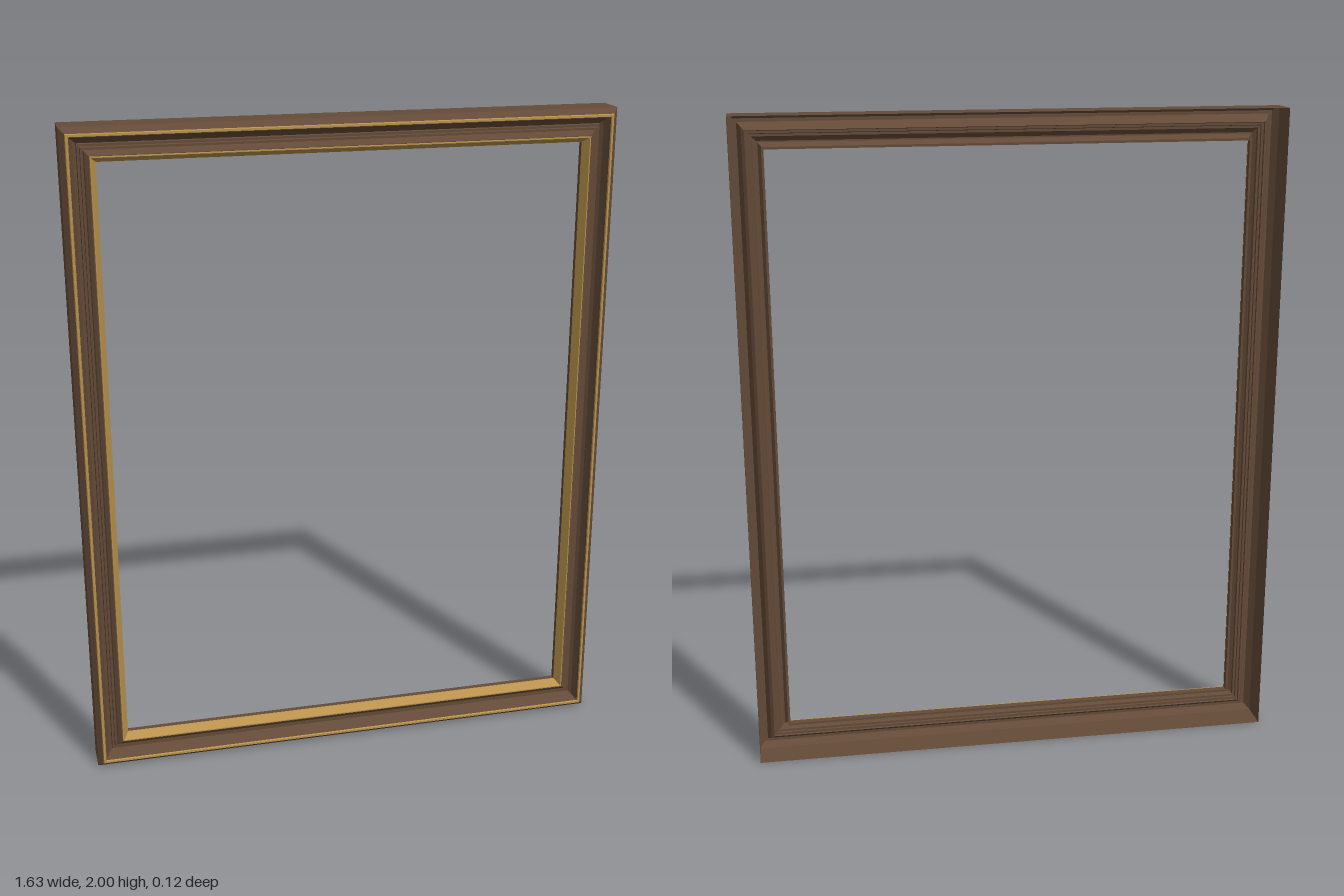
import * as THREE from 'three';

const HALF_W = 0.816, HALF_H = 1;

// Sweeps a moulding profile of [inset, z] points round the rectangle with mitred corners.
function mitredMoulding(profile) {
  const positions = [];
  const corner = (k, [inset, z]) => {
    const sx = [1, 1, -1, -1][k % 4], sy = [-1, 1, 1, -1][k % 4];
    return [sx * (HALF_W - inset), HALF_H + sy * (HALF_H - inset), z];
  };
  for (let i = 0; i < profile.length - 1; i++) {
    for (let k = 0; k < 4; k++) {
      const a = corner(k, profile[i]), b = corner(k + 1, profile[i]);
      const c = corner(k + 1, profile[i + 1]), d = corner(k, profile[i + 1]);
      positions.push(...a, ...b, ...c, ...a, ...c, ...d);
    }
  }
  const geometry = new THREE.BufferGeometry();
  geometry.setAttribute('position', new THREE.Float32BufferAttribute(positions, 3));
  geometry.computeVertexNormals();
  return geometry;
}

export function createModel() {
  const wood = new THREE.MeshStandardMaterial({ color: 0x644b38, side: THREE.DoubleSide });
  wood.name = 'darkWood';
  const gold = new THREE.MeshStandardMaterial({ color: 0xb8924c });
  gold.name = 'gilding';

  const group = new THREE.Group();
  group.name = 'pictureFrame';
  const add = (name, profile, material) => {
    const mesh = new THREE.Mesh(mitredMoulding(profile), material);
    mesh.name = name;
    group.add(mesh);
  };

  // Hollow wooden moulding: side wall, bevel, cove, stepped bed, raised lip and rebate
  add('woodenMoulding', [
    [0, -0.059], [0, 0.036], [0.016, 0.055], [0.026, 0.055],
    [0.03, 0.046], [0.038, 0.03], [0.047, 0.021],
    [0.049, 0.026], [0.056, 0.026], [0.058, 0.03], [0.065, 0.03],
    [0.068, 0.036], [0.079, 0.045], [0.083, 0.045],
    [0.099, 0.02], [0.099, 0], [0.092, 0],
  ], wood);

  // Gilded bead along the outer crest
  add('outerGiltBead', [
    [0.016, 0.055], [0.018, 0.059], [0.024, 0.059], [0.026, 0.055],
  ], gold);

  // Gilded slope round the opening
  add('innerGiltLip', [
    [0.081, 0.045], [0.082, 0.047], [0.085, 0.047], [0.1, 0.022], [0.1, 0.018],
  ], gold);

  return group;
}
